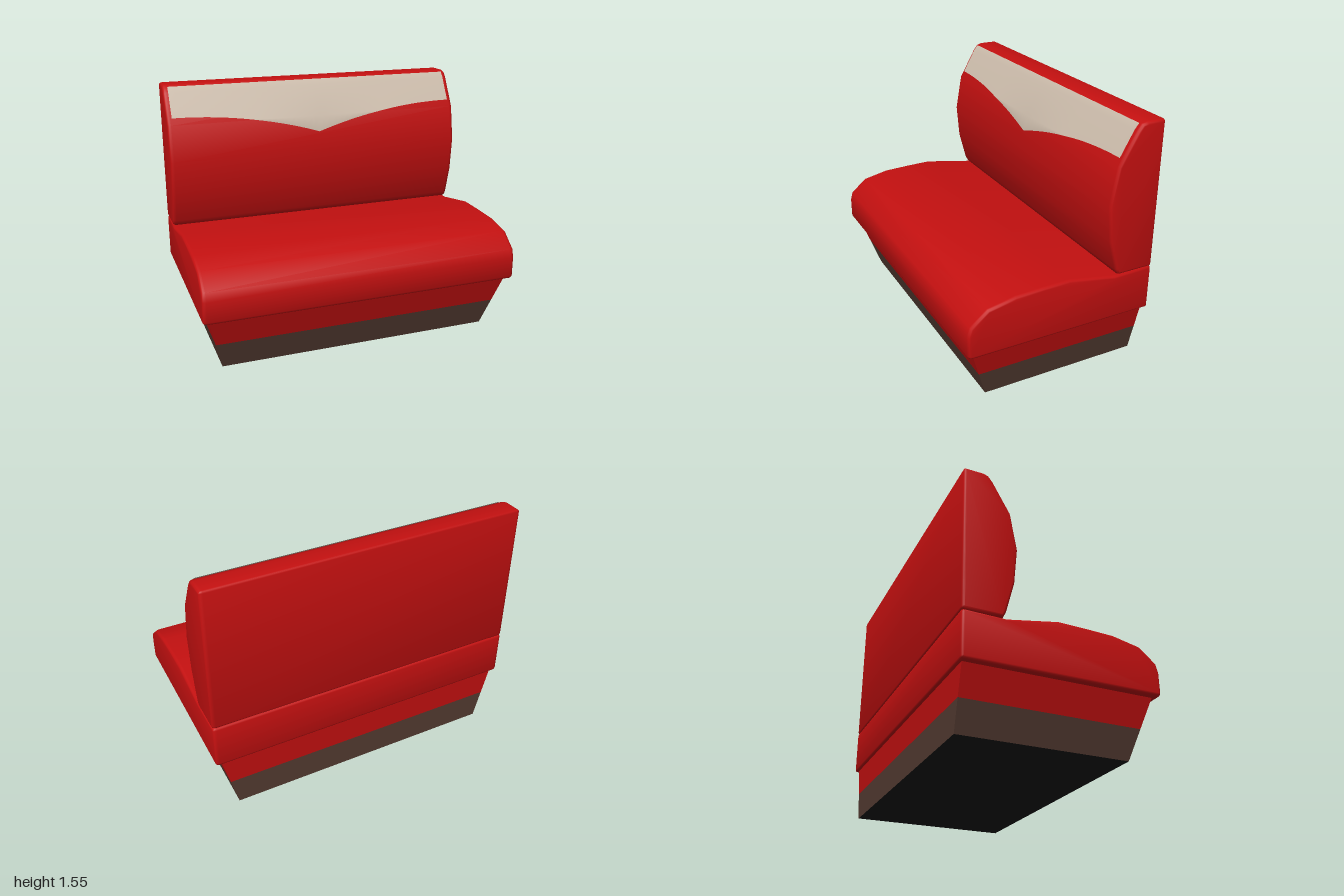
import * as THREE from 'three';
import { toCreasedNormals } from 'three/addons/utils/BufferGeometryUtils.js';

const colour = (name, hex, side = THREE.FrontSide) =>
  Object.assign(new THREE.MeshStandardMaterial({ color: hex, side }), { name });

function part(name, geometry, material) {
  const mesh = new THREE.Mesh(geometry, material);
  mesh.name = name;
  return mesh;
}

// Upholstered block: a (z, y) side profile run along x with softened ends
function cushion(profile, bevel = 0.022) {
  const shape = new THREE.Shape(profile.map(([z, y]) => new THREE.Vector2(z, y)));
  const geo = new THREE.ExtrudeGeometry(shape, {
    depth: 2 - 2 * bevel, bevelEnabled: true, bevelThickness: bevel,
    bevelSize: bevel * 0.7, bevelOffset: -bevel * 0.7, bevelSegments: 3,
  });
  geo.translate(0, 0, -1 + bevel);
  geo.rotateY(-Math.PI / 2);
  return toCreasedNormals(geo, 0.9);
}

// Plinth outline at height y, flaring towards the top
const BASE_TOP = 0.365, BACK = -0.58;
function plinth(y0, y1) {
  const geo = new THREE.BoxGeometry(1, 1, 1);
  const p = geo.attributes.position;
  for (let i = 0; i < p.count; i++) {
    const y = p.getY(i) < 0 ? y0 : y1;
    const t = y / BASE_TOP;
    p.setXYZ(i, Math.sign(p.getX(i)) * (0.872 + 0.09 * t), y,
      p.getZ(i) > 0 ? 0.435 + 0.125 * t : BACK);
  }
  geo.computeVertexNormals();
  return geo;
}

// Curved front of the backrest, bottom to top, as (z, y)
const BACK_FRONT = [[-0.36, 0.647], [-0.343, 0.68], [-0.292, 0.87], [-0.272, 1.09],
  [-0.312, 1.32], [-0.42, 1.51], [-0.448, 1.545], [-0.48, 1.555]];

function frontZ(y) {
  const i = Math.max(1, BACK_FRONT.findIndex((q) => q[1] >= y));
  const [z0, y0] = BACK_FRONT[i - 1], [z1, y1] = BACK_FRONT[i];
  return z0 + (z1 - z0) * (y - y0) / (y1 - y0);
}

// Thin head panel hugging the backrest, its lower edge dipping to a point
function headPanel() {
  const cols = 48, rows = 4, half = 0.968, pos = [], index = [];
  for (let c = 0; c <= cols; c++) {
    const x = -half + (2 * half * c) / cols;
    const low = 1.362 - 0.147 * Math.pow(1 - Math.abs(x) / half, 2.1);
    for (const y of [low, Math.max(low + 0.004, 1.32), 1.51, 1.544])
      pos.push(x, y + 0.002, frontZ(y) + 0.006);
  }
  for (let c = 0; c < cols; c++)
    for (let r = 0; r < rows - 1; r++) {
      const a = c * rows + r, b = a + rows;
      index.push(a, b, b + 1, a, b + 1, a + 1);
    }
  const geo = new THREE.BufferGeometry();
  geo.setAttribute('position', new THREE.Float32BufferAttribute(pos, 3));
  geo.setIndex(index);
  geo.computeVertexNormals();
  return geo;
}

export function createModel() {
  const red = colour('red upholstery', 0xc41010);
  const brown = colour('brown kick board', 0x553c32);
  const cream = colour('cream panel', 0xcdbdac, THREE.DoubleSide);
  const black = colour('black underside', 0x1a1a1a);

  const group = new THREE.Group();
  group.name = 'boothBench';

  // Plinth in two bands; the box's bottom face is black
  group.add(part('kickBoard', plinth(0, 0.18), [brown, brown, brown, black, brown, brown]));
  group.add(part('upperPlinth', plinth(0.18, BASE_TOP), red));

  // Seat cushion
  group.add(part('seat', cushion([
    [-0.585, 0.36], [0.575, 0.36], [0.592, 0.366], [0.6, 0.38], [0.6, 0.505],
    [0.585, 0.56], [0.48, 0.648], [0.31, 0.684], [0.14, 0.691], [-0.03, 0.695],
    [-0.34, 0.64], [-0.585, 0.645], [-0.594, 0.641], [-0.598, 0.63],
    [-0.598, 0.375], [-0.594, 0.364]]), red));

  // Backrest
  group.add(part('backrest', cushion([
    ...BACK_FRONT, [-0.585, 1.555], [-0.594, 1.552], [-0.598, 1.543],
    [-0.598, 0.66], [-0.594, 0.65], [-0.585, 0.643], [-0.38, 0.643]]), red));

  group.add(part('headPanel', headPanel(), cream));
  return group;
}
